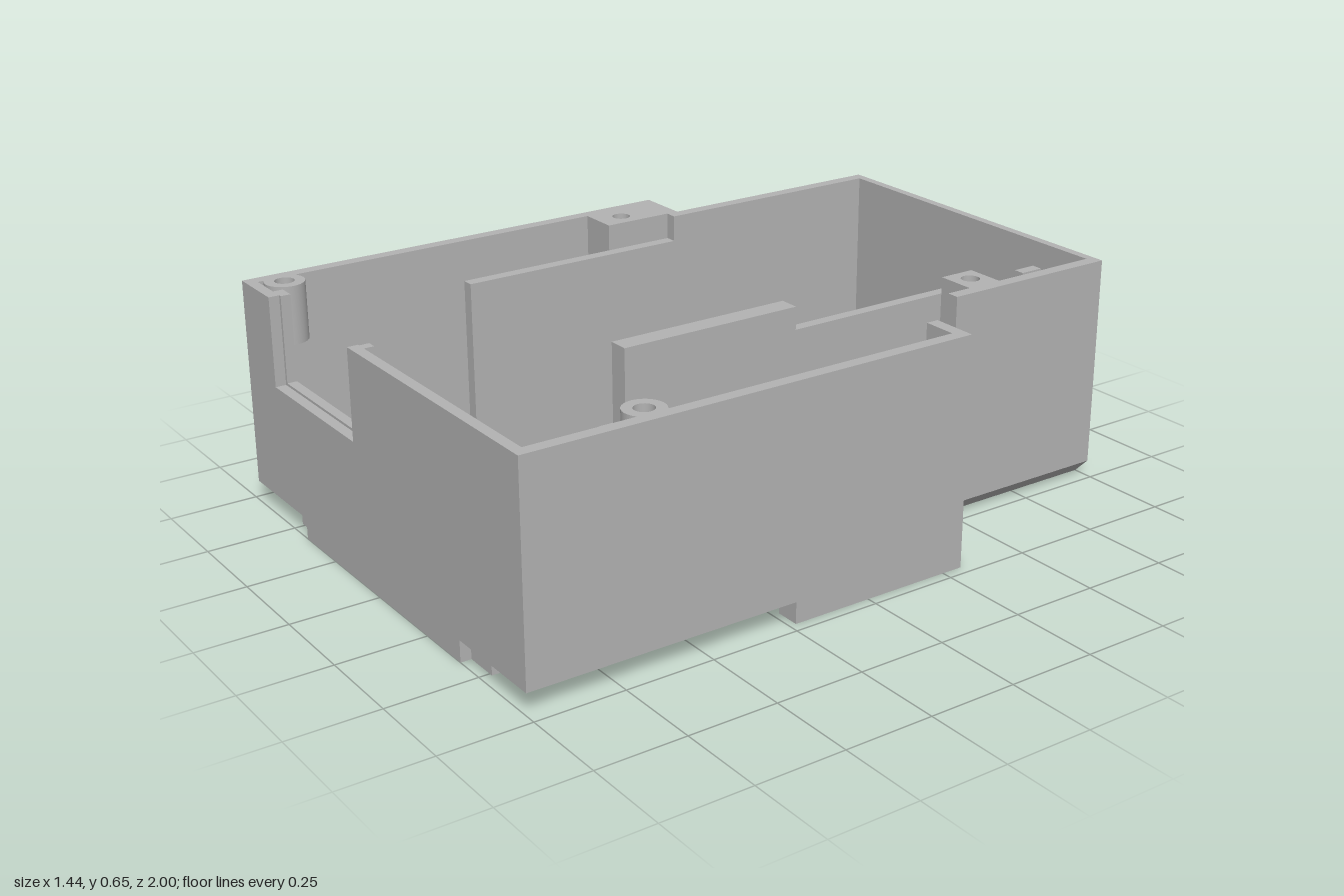
import * as THREE from 'three';

const TOP = 0.645, FLOOR = 0.045, T = 0.035;

export function createModel() {
  const model = new THREE.Group();
  model.name = 'openEnclosure';
  const grey = new THREE.MeshStandardMaterial({ color: 0xb2b2b2 });
  grey.name = 'plain grey';

  const add = (name, geometry) => {
    const mesh = new THREE.Mesh(geometry, grey);
    mesh.name = name;
    model.add(mesh);
    return mesh;
  };
  const box = (name, x0, x1, y0, y1, z0, z1) =>
    add(name, new THREE.BoxGeometry(x1 - x0, y1 - y0, z1 - z0)
      .translate((x0 + x1) / 2, (y0 + y1) / 2, (z0 + z1) / 2));
  const polygon = (points) => new THREE.Shape(points.map(([x, y]) => new THREE.Vector2(x, y)));
  const circle = (x, y, r) => new THREE.Path().absarc(x, y, r, 0, Math.PI * 2, true);
  // Plan outline given as [x, z], raised from y0 to y1
  const plan = (name, points, y0, y1, holes = []) => {
    const shape = polygon(points.map(([x, z]) => [x, -z]));
    holes.forEach(([x, z, r]) => shape.holes.push(circle(x, -z, r)));
    add(name, new THREE.ExtrudeGeometry(shape, { depth: y1 - y0, bevelEnabled: false, curveSegments: 16 })
      .rotateX(-Math.PI / 2).translate(0, y0, 0));
  };
  // Upright [x, y] profile run from z0 to z1
  const profile = (name, points, z0, z1) =>
    add(name, new THREE.ExtrudeGeometry(polygon(points), { depth: z1 - z0, bevelEnabled: false })
      .translate(0, 0, z0));

  // Floor with its tongue, ledges beside the openings and four screw holes
  plan('floor', [
    [-0.525, -1], [0.44, -1], [0.44, -0.31], [0.72, -0.31], [0.72, 0.23], [0.65, 0.23],
    [0.65, 0], [0.413, 0], [0.413, 0.69], [0.437, 0.69], [0.43, 0.715], [0.41, 0.727],
    [0.2, 0.735], [-0.02, 0.742], [-0.2, 0.738], [-0.42, 0.73], [-0.445, 0.715],
    [-0.452, 0.69], [-0.418, 0.69], [-0.418, 0], [-0.65, 0], [-0.65, 0.23],
    [-0.72, 0.23], [-0.72, -0.31], [-0.525, -0.31],
  ], 0, FLOOR, [-0.365, 0.36].flatMap((x) => [-0.79, 0.615].map((z) => [x, z, 0.031])));

  // Front plate with a shallow pointed rear edge
  plan('frontFloorPlate', [
    [-0.513, 0.97], [-0.513, 0.805], [-0.25, 0.832], [-0.02, 0.85], [0.06, 0.847],
    [0.51, 0.803], [0.51, 0.97],
  ], 0, FLOOR);
  for (const [x0, x1] of [[-0.315, -0.228], [-0.192, -0.107]])
    box('floorBridge', x0, x1, FLOOR, 0.065, 0.7, 0.945);

  // Wide side walls, raised above the front openings
  for (const s of [-1, 1]) {
    const [x0, x1] = s < 0 ? [-0.72, -0.72 + T] : [0.72 - T, 0.72];
    box('sideWallRear', x0, x1, 0, TOP, -0.31, 0.23);
    box('sideWallFront', x0, x1, 0.06, TOP, 0.23, 1);
  }

  // Front wall with a top notch and a deeper middle
  profile('frontWall', [
    [-0.72, 0.06], [-0.418, 0.06], [-0.418, 0], [0.413, 0], [0.413, 0.06], [0.72, 0.06],
    [0.72, TOP], [-0.098, TOP], [-0.098, 0.393], [-0.552, 0.393], [-0.552, TOP], [-0.72, TOP],
  ], 0.97, 1);

  // Thickened frame behind the notch
  profile('notchFrame', [
    [-0.59, 0.33], [-0.015, 0.33], [-0.015, 0.55], [-0.065, 0.55], [-0.065, TOP],
    [-0.092, TOP], [-0.092, 0.4], [-0.543, 0.4], [-0.543, TOP], [-0.59, TOP],
  ], 0.942, 0.97);

  // Narrow rear bay with bevelled lower edges
  profile('backWall', [
    [-0.525, 0], [0.44, 0], [0.485, 0.045], [0.485, TOP], [-0.57, TOP], [-0.57, 0.045],
  ], -1, -0.975);
  const rearSide = (s, xo, top, z0, z1) => {
    const pts = [[xo - s * 0.045, 0], [xo, 0.045], [xo, top], [xo - s * T, top],
      [xo - s * T, FLOOR], [xo - s * 0.045, FLOOR]];
    profile('rearBayWall', pts, z0, z1);
  };
  rearSide(-1, -0.57, TOP, -0.975, -0.275);
  rearSide(1, 0.485, TOP, -0.975, -0.47);
  rearSide(1, 0.485, 0.34, -0.47, -0.275);

  // Shoulder walls, the right one cut down beside the bay
  box('shoulderWall', -0.72, -0.57, 0, TOP, -0.31, -0.275);
  profile('shoulderWall', [
    [0.45, 0], [0.72, 0], [0.72, TOP], [0.59, TOP], [0.59, 0.34], [0.45, 0.34],
  ], -0.31, -0.275);

  // Interior partitions and ribs
  box('leftPartition', -0.57, -0.535, 0.02, 0.57, -0.275, 0.41);
  box('rightPartitionLow', 0.245, 0.277, FLOOR, 0.57, -0.69, -0.08);
  box('rightPartitionHigh', 0.245, 0.302, FLOOR, TOP, -0.08, 0.45);
  box('backRib', 0.245, 0.277, FLOOR, 0.57, -0.975, -0.905);
  box('backPad', -0.27, 0.175, FLOOR, 0.075, -0.975, -0.89);
  profile('floorWedge', [[-0.535, FLOOR], [-0.475, FLOOR], [-0.535, 0.12]], -0.975, -0.275);

  // Square screw posts with blind holes
  const squarePost = (x0, x1, z0, z1, hx, hz) => {
    box('squarePostBase', x0, x1, FLOOR, 0.45, z0, z1);
    plan('squarePostTop', [[x0, z1], [x1, z1], [x1, z0], [x0, z0]], 0.45, TOP, [[hx, hz, 0.026]]);
  };
  squarePost(-0.685, -0.57, -0.275, -0.07, -0.627, -0.15);
  squarePost(0.34, 0.45, -0.65, -0.545, 0.392, -0.6);

  // Round screw posts hung from the walls
  for (const [x, z] of [[0.65, 0.625], [-0.655, 0.907]]) {
    const points = [[0, 0.48], [0.055, 0.48], [0.055, TOP], [0.027, TOP], [0.027, 0.51], [0, 0.51]]
      .map(([r, y]) => new THREE.Vector2(r, y));
    // separate bands keep the rims sharp
    for (let i = 0; i < points.length - 1; i++)
      add('roundPost', new THREE.LatheGeometry([points[i], points[i + 1]], 28).translate(x, 0, z));
  }
  return model;
}
